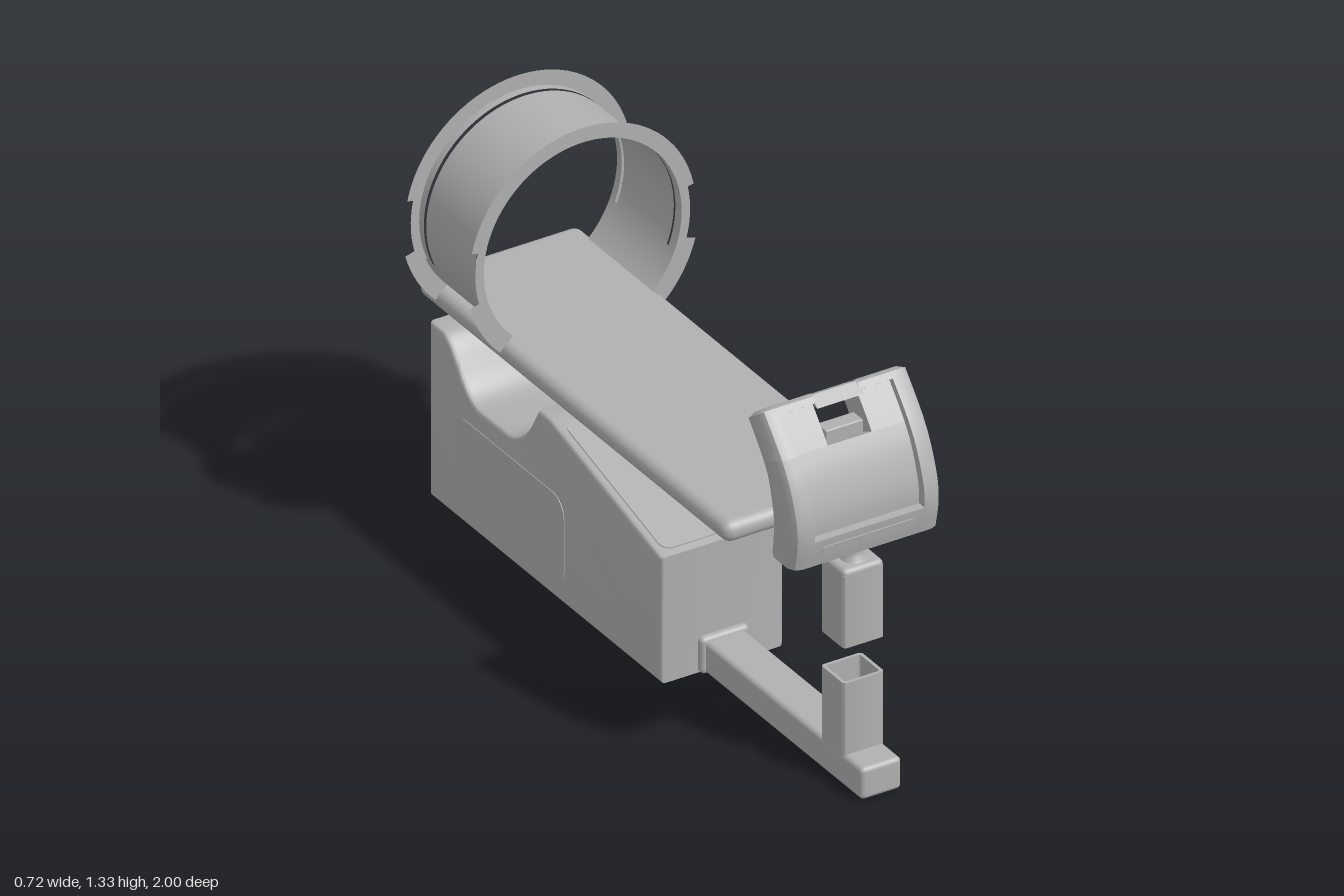
import * as THREE from 'three';
import { toCreasedNormals } from 'three/addons/utils/BufferGeometryUtils.js';
import { RoundedBoxGeometry } from 'three/addons/geometries/RoundedBoxGeometry.js';

const grey = new THREE.MeshStandardMaterial({ color: 0xb0b0b0, side: THREE.DoubleSide });
grey.name = 'plain grey';

function add(parent, name, geometry, x = 0, y = 0, z = 0) {
  const mesh = new THREE.Mesh(geometry, grey);
  mesh.name = name;
  mesh.position.set(x, y, z);
  parent.add(mesh);
  return mesh;
}

const box = (w, h, d, r) => new RoundedBoxGeometry(w, h, d, 3, r);

function roundRect(w, h, r) {
  const s = new THREE.Shape(), x = w / 2, y = h / 2;
  s.absarc(x - r, y - r, r, 0, Math.PI / 2);
  s.absarc(r - x, y - r, r, Math.PI / 2, Math.PI);
  s.absarc(r - x, r - y, r, Math.PI, Math.PI * 1.5);
  s.absarc(x - r, r - y, r, Math.PI * 1.5, Math.PI * 2);
  return s;
}

const plate = (shape, depth) => new THREE.ExtrudeGeometry(shape, { depth, bevelEnabled: false, curveSegments: 8 });

// Side profile (drawn with x = -z) extruded across the width
function acrossWidth(shape, width, bevel) {
  const g = new THREE.ExtrudeGeometry(shape, {
    depth: width - 2 * bevel, bevelEnabled: bevel > 0, bevelSize: bevel, bevelThickness: bevel,
    bevelOffset: -bevel, bevelSegments: 3, curveSegments: 16,
  });
  g.translate(0, 0, -width / 2 + bevel).rotateY(Math.PI / 2);
  return toCreasedNormals(g, 0.6);
}

// Square socket standing upright, open at its ends
function socket(height) {
  const s = roundRect(0.13, 0.12, 0.012);
  s.holes.push(roundRect(0.11, 0.1, 0.006));
  return toCreasedNormals(plate(s, height).rotateX(-Math.PI / 2), 0.6);
}

// Curved front and back faces of the pad, as (z, y)
const curve = (pts) => new THREE.SplineCurve(pts.map((p) => new THREE.Vector2(...p)));
const padFront = curve([[0.92, 0.735], [0.938, 0.83], [0.925, 0.92], [0.868, 1.04], [0.755, 1.172]]);
const padBack = curve([[0.793, 0.735], [0.8, 0.83], [0.79, 0.9], [0.76, 0.99], [0.67, 1.107]]);

// Half cross-section (x, depth) of the pad, with its front recess
function halfSection(u) {
  const end = u === 0 || u === 1;
  const w = end ? 0.215 : 0.235, d = u > 0.235 && u < 0.94 ? 0.2 : 0.001;
  return [[0.07, d], [0.175, d], [0.175, 0], [w - 0.03, 0], [w - 0.01, 0.06], [w, 0.22],
    [w, 0.78], [w - 0.01, 0.94], [w - 0.03, 1], [0.07, 1]]
    .map(([x, t]) => [x, end ? 0.5 + (t - 0.5) * 0.75 : t]);
}
const mirrored = (half) => half.map(([x, t]) => [-x, t]).reverse();

function loft(section, us) {
  const pos = [], idx = [], n = section(0.5).length;
  for (const u of us) {
    const f = padFront.getPoint(u), b = padBack.getPoint(u);
    for (const [x, t] of section(u)) {
      const p = f.clone().lerp(b, t);
      pos.push(x, p.y, p.x);
    }
  }
  for (let i = 0; i < us.length - 1; i++) {
    for (let j = 0; j < n; j++) {
      const a = i * n + j, b = i * n + (j + 1) % n;
      idx.push(a, b, b + n, a, b + n, a + n);
    }
  }
  const last = (us.length - 1) * n;
  const cap = (u) => THREE.ShapeUtils.triangulateShape(section(u).map((p) => new THREE.Vector2(...p)), []);
  for (const [a, b, c] of cap(us[0])) idx.push(a, c, b);
  for (const [a, b, c] of cap(us.at(-1))) idx.push(last + a, last + b, last + c);
  const g = new THREE.BufferGeometry();
  g.setAttribute('position', new THREE.Float32BufferAttribute(pos, 3));
  g.setIndex(idx);
  return toCreasedNormals(g, 0.7);
}

function buildBase(root) {
  const base = new THREE.Group();
  base.name = 'base';
  root.add(base);

  // Body with sloping top and a scooped saddle
  const s = new THREE.Shape();
  s.moveTo(-0.185, 0.005);
  s.lineTo(-0.185, 0.4);
  s.lineTo(0.37, 0.548);
  s.quadraticCurveTo(0.4, 0.555, 0.445, 0.55);
  s.bezierCurveTo(0.48, 0.5, 0.51, 0.395, 0.62, 0.395);
  s.lineTo(0.74, 0.395);
  s.bezierCurveTo(0.84, 0.4, 0.86, 0.53, 0.93, 0.552);
  s.lineTo(1, 0.552);
  s.lineTo(1, 0.005);
  s.closePath();
  add(base, 'body', acrossWidth(s, 0.39, 0.012));

  // Inset panels on the sides and the slope
  for (const side of [-1, 1]) {
    add(base, 'sidePanel', plate(roundRect(0.56, 0.285, 0.06), 0.003), side * 0.194, 0.19, -0.59)
      .rotation.y = side * Math.PI / 2;
  }
  const lid = plate(roundRect(0.345, 0.53, 0.03), 0.004).rotateX(-Math.PI / 2);
  add(base, 'topPanel', lid, 0, 0.474, -0.095).rotation.x = 0.262;

  // Front arm and lower socket
  add(base, 'arm', box(0.13, 0.1, 0.85, 0.015), 0, 0.055, 0.575);
  add(base, 'armCollar', box(0.155, 0.115, 0.05, 0.015), 0, 0.06, 0.18);
  add(base, 'lowerSocket', socket(0.235), 0, 0.095, 0.85);
}

function buildPad(root) {
  const pad = new THREE.Group();
  pad.name = 'pad';
  root.add(pad);

  // Upper socket with closed top and neck
  add(pad, 'upperSocket', socket(0.225), 0, 0.44, 0.85);
  add(pad, 'socketCap', box(0.13, 0.04, 0.12, 0.015), 0, 0.663, 0.85);
  const neck = [[0.045, 0.675], [0.027, 0.695], [0.025, 0.715], [0.03, 0.73], [0.04, 0.745]];
  add(pad, 'neck', new THREE.LatheGeometry(neck.map((p) => new THREE.Vector2(...p)), 24), 0, 0, 0.855);

  // Curved pad, and two horns either side of the strap opening
  const lower = [0, 0.02, 0.06, 0.12, 0.18, 0.235, 0.2351];
  for (let u = 0.29; u < 0.77; u += 0.06) lower.push(u);
  add(pad, 'padBody', loft((u) => [...halfSection(u), ...mirrored(halfSection(u))], [...lower, 0.78]));
  const upper = [0.78, 0.83, 0.88, 0.9399, 0.94, 0.975, 1];
  add(pad, 'padHorn', loft(halfSection, upper));
  add(pad, 'padHorn', loft((u) => mirrored(halfSection(u)), upper));

  // Bridge over the opening and ledge below it
  const wedge = new THREE.Shape([[-0.79, 1.14], [-0.712, 1.14], [-0.755, 1.165]].map((p) => new THREE.Vector2(...p)));
  add(pad, 'strapBridge', acrossWidth(wedge, 0.15, 0));
  add(pad, 'strapLedge', box(0.12, 0.08, 0.05, 0.005), 0, 1.035, 0.785);

  // Raised trim strip near the bottom
  add(pad, 'trimStrip', plate(roundRect(0.3, 0.032, 0.015), 0.004), 0, 0.785, 0.931).rotation.x = 0.17;
}

function buildDeck(root) {
  const deck = new THREE.Group();
  deck.name = 'deck';
  root.add(deck);
  add(deck, 'board', box(0.515, 0.065, 1.58, 0.03), 0, 0.706, -0.175);

  // Mount below the board
  add(deck, 'mountFlange', box(0.205, 0.055, 0.072, 0.02), 0, 0.655, -0.006);
  add(deck, 'mountWaist', box(0.11, 0.07, 0.05, 0.005), 0, 0.613, -0.006);
  add(deck, 'mountFoot', box(0.12, 0.045, 0.072, 0.012), 0, 0.578, -0.006);
}

function buildRing(root) {
  const ring = new THREE.Group();
  ring.name = 'ring';
  ring.position.y = 0.975;
  root.add(ring);
  const deg = Math.PI / 180;

  // Open hoop in three bands with narrow gaps
  for (const [z0, z1] of [[-0.528, -0.56], [-0.568, -0.822], [-0.834, -0.858]]) {
    const g = new THREE.CylinderGeometry(0.316, 0.316, z0 - z1, 72, 1, true, 45 * deg, 270 * deg);
    add(ring, 'hoopBand', g.rotateX(Math.PI / 2), 0, 0, (z0 + z1) / 2);
  }
  // Thin stepped flanges: outer radius, start and sweep
  for (const z of [-0.528, -0.858]) {
    for (const [r, from, sweep] of [[0.368, 12, 156], [0.343, -15, 27], [0.343, 168, 27], [0.373, -45, 30], [0.373, 195, 30]]) {
      const outer = r === 0.368 ? 0.362 : r;
      add(ring, 'flange', new THREE.RingGeometry(0.316, outer, Math.ceil(sweep / 4), 1, from * deg, sweep * deg), 0, 0, z);
    }
  }
  // Lower gripping shells
  for (const from of [45, 292]) {
    const g = new THREE.CylinderGeometry(0.32, 0.32, 0.33, 8, 1, true, from * deg, 23 * deg);
    add(ring, 'gripShell', g.rotateX(Math.PI / 2), 0, 0, -0.693);
  }
}

export function createModel() {
  const root = new THREE.Group();
  root.name = 'model';
  buildBase(root);
  buildPad(root);
  buildDeck(root);
  buildRing(root);
  return root;
}
